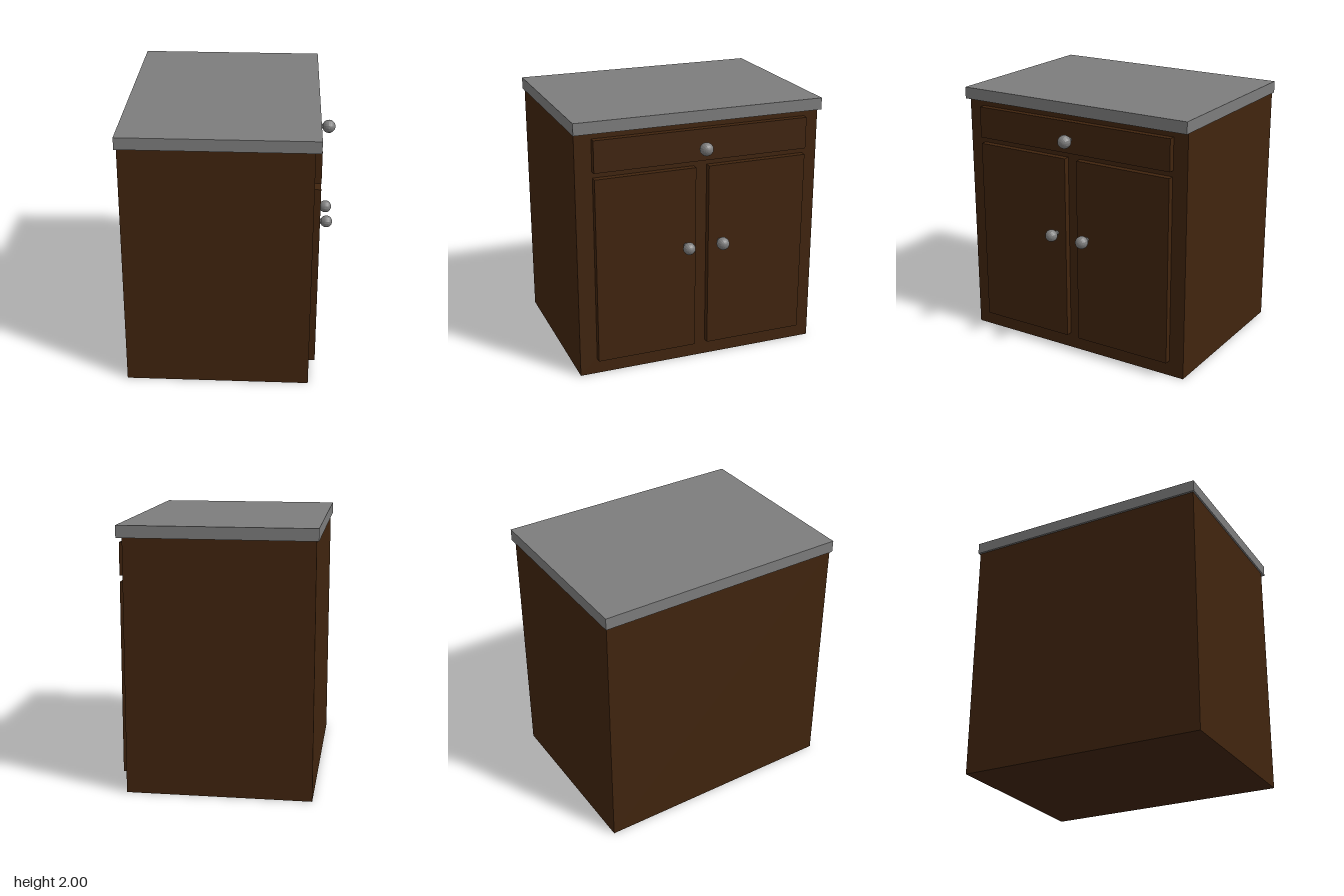
import * as THREE from 'three';

export function createModel() {
  const wood = new THREE.MeshStandardMaterial({ color: 0x40240e });
  wood.name = 'dark wood';
  const grey = new THREE.MeshStandardMaterial({ color: 0x7c7c7c, flatShading: true });
  grey.name = 'grey';

  const cabinet = new THREE.Group();
  cabinet.name = 'cabinet';

  // Box given by its minimum and maximum corners
  function block(name, material, [x0, y0, z0], [x1, y1, z1]) {
    const mesh = new THREE.Mesh(new THREE.BoxGeometry(x1 - x0, y1 - y0, z1 - z0), material);
    mesh.position.set((x0 + x1) / 2, (y0 + y1) / 2, (z0 + z1) / 2);
    mesh.name = name;
    cabinet.add(mesh);
  }

  // Carcass and worktop
  block('carcass', wood, [-0.772, 0, -0.962], [0.613, 1.91, 0.96]);
  block('worktop', grey, [-0.788, 1.91, -0.973], [0.656, 2, 0.973]);

  // Drawer front and two doors on the +x side
  const back = 0.612, face = 0.663;
  block('drawerFront', wood, [back, 1.62, -0.847], [face, 1.863, 0.831]);
  block('leftDoor', wood, [back, 0.122, 0.047], [face, 1.572, 0.828]);
  block('rightDoor', wood, [back, 0.122, -0.843], [face, 1.572, -0.056]);

  // Round knobs on short flared stems, built along +y and turned to +x
  const ballGeometry = new THREE.SphereGeometry(1, 16, 12);
  const stemGeometry = new THREE.CylinderGeometry(0.022, 0.016, 0.05, 10);
  function knob(name, y, z, radius) {
    const group = new THREE.Group();
    group.name = name;
    const stem = new THREE.Mesh(stemGeometry, grey);
    stem.name = 'stem';
    stem.position.y = 0.02;
    const ball = new THREE.Mesh(ballGeometry, grey);
    ball.name = 'ball';
    ball.scale.setScalar(radius);
    ball.position.y = 0.785 - radius - face;
    group.add(stem, ball);
    group.rotation.z = -Math.PI / 2;
    group.position.set(face, y, z);
    cabinet.add(group);
  }
  knob('drawerKnob', 1.728, -0.003, 0.051);
  knob('leftDoorKnob', 0.97, 0.128, 0.047);
  knob('rightDoorKnob', 0.97, -0.146, 0.049);

  return cabinet;
}
